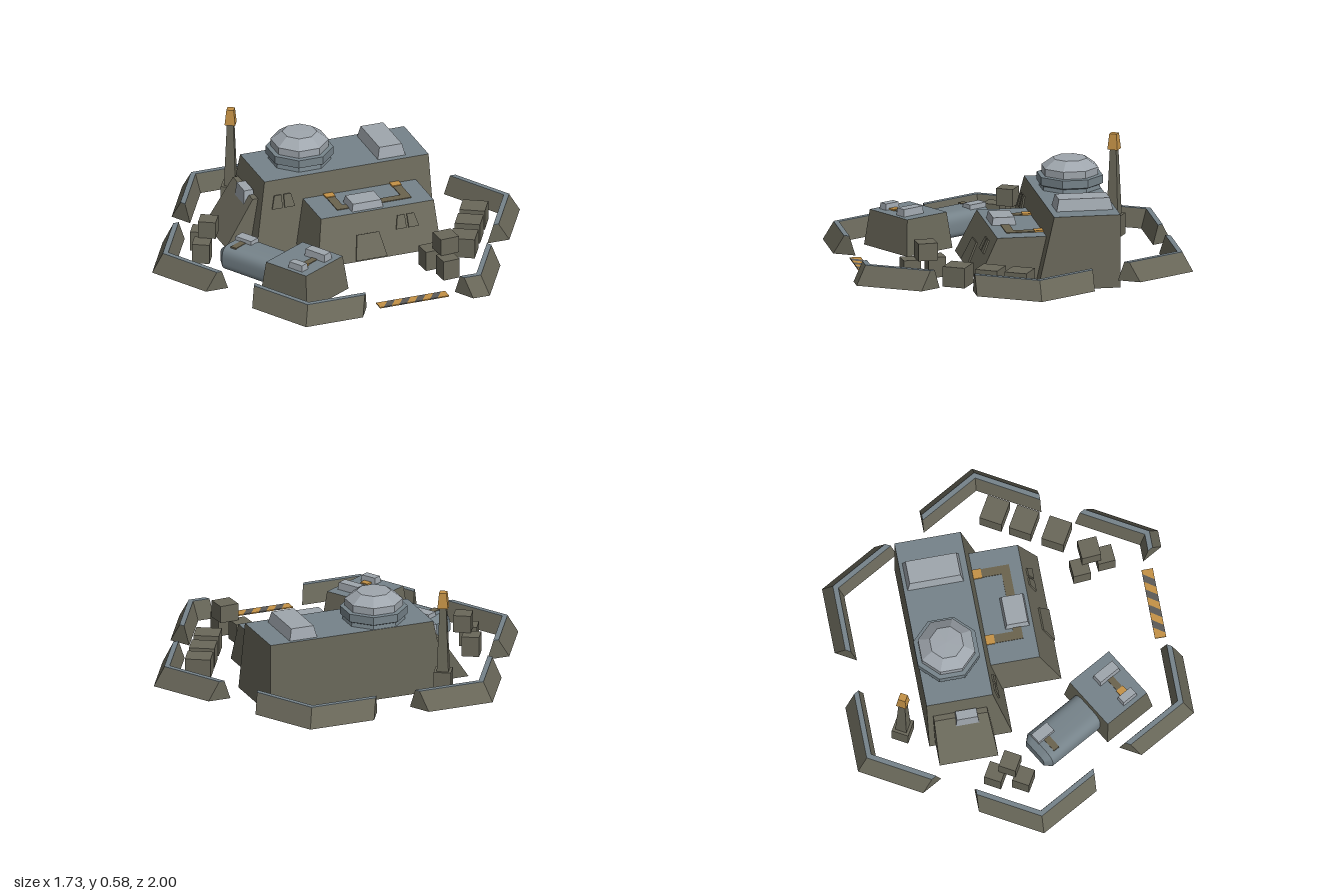
import * as THREE from 'three';
import { toCreasedNormals } from 'three/addons/utils/BufferGeometryUtils.js';

const mat = (name, color, double = false) => {
  const m = new THREE.MeshStandardMaterial({ color });
  m.name = name;
  if (double) m.side = THREE.DoubleSide;
  return m;
};

export function createModel() {
  const root = new THREE.Group();
  root.name = 'fortifiedOutpost';
  const olive = mat('olive armour', 0x6a685a, true);
  const slate = mat('slate roof', 0x76838a, true);
  const pale = mat('pale grey', 0x9fa6ad);
  const gold = mat('amber', 0xc49246);
  const brown = mat('brown conduit', 0x6b634e);
  const dark = mat('stripe grey', 0x5c5b58);

  const add = (parent, name, geo, m, x = 0, y = 0, z = 0, ry = 0) => {
    const mesh = new THREE.Mesh(geo, m);
    mesh.name = name;
    mesh.position.set(x, y, z);
    mesh.rotation.y = ry;
    parent.add(mesh);
    return mesh;
  };
  const group = (name, x, z, ry) => {
    const g = new THREE.Group();
    g.name = name;
    g.position.set(x, 0, z);
    g.rotation.y = ry;
    root.add(g);
    return g;
  };
  const flat = (geo) => {
    const g = geo.toNonIndexed();
    g.computeVertexNormals();
    return g;
  };

  // Box with separate bottom and top rectangles, each [x0, x1, z0, z1]
  const frustum = (b, t, y0, y1, open = false) => {
    const g = new THREE.BoxGeometry(1, 1, 1);
    const p = g.attributes.position;
    for (let i = 0; i < p.count; i++) {
      const top = p.getY(i) > 0;
      const r = top ? t : b;
      p.setXYZ(i, p.getX(i) < 0 ? r[0] : r[1], top ? y1 : y0, p.getZ(i) < 0 ? r[2] : r[3]);
    }
    g.computeVertexNormals();
    if (open) g.groups = g.groups.filter((q) => q.materialIndex !== 3);
    return g;
  };
  const roofed = [olive, olive, slate, olive, olive, olive];
  const block = (parent, name, m, x, z, w, d, y0, y1, inset = 0) => {
    const r = (k) => [x - w / 2 + k, x + w / 2 - k, z - d / 2 + k, z + d / 2 - k];
    return add(parent, name, frustum(r(0), r(inset), y0, y1), m);
  };

  // Bunker halls
  const base = group('bunker', 0, 0, Math.PI / 6);
  add(base, 'mainHall', frustum([-0.415, 0.558, -0.482, -0.055], [-0.334, 0.558, -0.482, -0.141], 0, 0.38, true), roofed);
  add(base, 'frontAnnex', frustum([-0.19, 0.478, -0.12, 0.24], [-0.135, 0.478, -0.13, 0.138], 0.04, 0.263, true), roofed);
  add(base, 'sideAnnex', frustum([-0.54, -0.36, -0.452, -0.15], [-0.385, -0.33, -0.452, -0.175], 0.04, 0.275, true), Array(6).fill(olive));

  // Roof hatches
  block(base, 'mainHatch', pale, 0.37, -0.318, 0.15, 0.29, 0.38, 0.44, 0.014);
  block(base, 'annexHatch', pale, 0.126, 0.057, 0.17, 0.125, 0.263, 0.302, 0.008);
  block(base, 'sideHatch', pale, -0.385, -0.285, 0.06, 0.12, 0.23, 0.302, 0.006);

  // Roof conduits with amber ends
  for (const [x, inner] of [[0, 0.045], [0.36, 0.205]]) {
    block(base, 'conduit', brown, x, -0.01, 0.045, 0.17, 0.26, 0.267);
    block(base, 'conduitElbow', brown, (x + inner) / 2, 0.053, Math.abs(x - inner), 0.045, 0.26, 0.267);
    block(base, 'conduitCap', gold, x, -0.093, 0.05, 0.045, 0.26, 0.271);
  }

  // Octagonal observation dome, its shaft reaching down inside the hall
  const ring8 = (pts) => flat(new THREE.LatheGeometry(pts.map(([r, y]) => new THREE.Vector2(r, y)), 8, Math.PI / 8));
  add(base, 'domeSkirt', ring8([[0.16, 0.38], [0.155, 0.4], [0.172, 0.408], [0.172, 0.45], [0.14, 0.453]]), slate, -0.07, 0, -0.33);
  add(base, 'dome', ring8([[0, 0.04], [0.145, 0.04], [0.148, 0.49], [0.088, 0.533], [0, 0.535]]), pale, -0.07, 0, -0.33);

  // Shutters and door lying on the sloping fronts
  const plate = (name, pts, x, y, z, slope) => {
    const s = new THREE.Shape(pts.map(([a, b]) => new THREE.Vector2(a, b)));
    const g = new THREE.ExtrudeGeometry(s, { depth: 0.008, bevelEnabled: false });
    add(base, name, g, olive, x, y, z).rotation.x = -Math.atan(slope);
  };
  const shutters = (x, y, z, slope) => {
    plate('shutterLeft', [[0.006, -0.035], [0.062, -0.035], [0.045, 0.035], [0.006, 0.035]], x, y, z, slope);
    plate('shutterRight', [[-0.062, -0.035], [-0.006, -0.035], [-0.006, 0.035], [-0.045, 0.035]], x, y, z, slope);
  };
  shutters(-0.245, 0.27, -0.115, 0.226);
  shutters(0.315, 0.19, 0.173, 0.457);
  plate('door', [[-0.085, 0], [0.085, 0], [0.06, 0.13], [-0.06, 0.13]], 0.1, 0.045, 0.239, 0.457);

  // Low outbuilding with a rounded wing
  const out = group('outbuilding', -0.075, 0.566, -Math.PI / 6);
  add(out, 'outbuildingBody', frustum([-0.15, 0.15, -0.17, 0.17], [-0.13, 0.13, -0.148, 0.148], 0.035, 0.22, true), roofed);
  const wing = new THREE.Shape();
  wing.moveTo(-0.06, 0.055);
  wing.lineTo(0.06, 0.055);
  wing.quadraticCurveTo(0.1, 0.055, 0.1, 0.095);
  wing.lineTo(0.1, 0.125);
  wing.quadraticCurveTo(0.1, 0.185, 0.04, 0.185);
  wing.lineTo(-0.04, 0.185);
  wing.quadraticCurveTo(-0.1, 0.185, -0.1, 0.125);
  wing.lineTo(-0.1, 0.095);
  wing.quadraticCurveTo(-0.1, 0.055, -0.06, 0.055);
  const wingGeo = new THREE.ExtrudeGeometry(wing, { depth: 0.355, bevelThickness: 0.035, bevelSize: 0.03, bevelOffset: -0.03, bevelSegments: 1, curveSegments: 6 });
  wingGeo.translate(0, 0.0, 0);
  add(out, 'roundedWing', toCreasedNormals(wingGeo, 0.6), slate, -0.1, 0, 0, -Math.PI / 2);
  block(out, 'wingVent', pale, -0.405, -0.038, 0.11, 0.065, 0.15, 0.205, 0.004);
  block(out, 'wingConduit', brown, -0.405, 0.03, 0.035, 0.08, 0.15, 0.188);
  block(out, 'roofVent', pale, 0.04, -0.062, 0.13, 0.06, 0.22, 0.258, 0.004);
  block(out, 'roofVentSmall', pale, 0.04, 0.1, 0.09, 0.05, 0.22, 0.252, 0.004);
  block(out, 'roofConduit', brown, 0.04, 0.01, 0.035, 0.12, 0.218, 0.224);
  block(out, 'roofConduitCap', gold, 0.04, 0.058, 0.045, 0.035, 0.218, 0.228);

  // Chevron walls: a cross-section of [apothem, y] swept round one hexagon corner, open below
  const chevron = (section, armA, armB) => {
    const pos = [];
    const idx = [];
    const n = section.length;
    for (const arm of [-armA, 0, armB]) {
      for (const [a, y] of section) pos.push(arm * 0.866, y, a / 0.866 - Math.abs(arm) * 0.5);
    }
    for (let s = 0; s < 2; s++) {
      for (let i = 1; i < n; i++) {
        const a = s * n + i;
        const b = s * n + (i + 1) % n;
        idx.push(a, a + n, b, b, a + n, b + n);
      }
    }
    for (let i = 1; i < n - 1; i++) idx.push(0, i, i + 1, 2 * n, 2 * n + i + 1, 2 * n + i);
    const g = new THREE.BufferGeometry();
    g.setAttribute('position', new THREE.Float32BufferAttribute(pos, 3));
    g.setIndex(idx);
    return flat(g);
  };
  // The two walls beside the gate have shortened arms
  const arms = [[0.35, 0.31], [0.09, 0.35], [0.35, 0.35], [0.35, 0.35], [0.35, 0.35], [0.35, 0.35]];
  arms.forEach(([a, b], i) => {
    const g = group('perimeterWall', 0, 0, i * Math.PI / 3);
    add(g, 'wall', chevron([[0.762, 0.052], [0.866, 0.052], [0.816, 0.148], [0.79, 0.148]], a, b), olive);
    add(g, 'wallCap', chevron([[0.79, 0.147], [0.816, 0.147], [0.816, 0.151], [0.79, 0.151]], a, b), slate);
  });

  // Crates: [x, z, bottom, width, height, depth, turn]
  const crates = [
    [0.66, -0.305, 0.05, 0.13, 0.105, 0.118, 0], [0.66, -0.147, 0.05, 0.13, 0.105, 0.118, 0],
    [0.66, 0.028, 0.05, 0.13, 0.105, 0.118, 0],
    [-0.67, 0.17, 0.05, 0.09, 0.105, 0.09, 0], [-0.64, 0.31, 0.05, 0.09, 0.105, 0.09, 0],
    [-0.62, 0.23, 0.155, 0.09, 0.09, 0.09, 0],
    [0.515, 0.205, 0.05, 0.09, 0.105, 0.09, 0.6], [0.62, 0.3, 0.05, 0.09, 0.105, 0.09, 0.6],
    [0.597, 0.225, 0.155, 0.1, 0.09, 0.1, 0.6],
  ];
  for (const [x, z, y, w, h, d, turn] of crates) {
    add(root, 'crate', new THREE.BoxGeometry(w, h, d), olive, x, y + h / 2, z, turn);
  }

  // Beacon mast
  const mast = group('beaconMast', -0.595, -0.355, 0);
  block(mast, 'mastFoot', olive, 0, 0, 0.088, 0.088, 0.05, 0.16);
  block(mast, 'mastPost', olive, 0, 0, 0.06, 0.06, 0.16, 0.5, 0.013);
  block(mast, 'beacon', gold, 0, 0, 0.054, 0.054, 0.5, 0.582, 0.008);

  // Striped gate strip
  const gate = group('gateStrip', 0.487, 0.612, Math.PI / 6);
  const count = 9;
  const len = 0.375;
  const skew = 0.02;
  for (let i = 0; i < count; i++) {
    const x0 = -len / 2 + (i * len) / count;
    const x1 = x0 + len / count;
    const k0 = i === 0 ? 0 : skew;
    const k1 = i === count - 1 ? 0 : skew;
    const s = new THREE.Shape([[x0 - k0, -0.029], [x1 - k1, -0.029], [x1 + k1, 0.029], [x0 + k0, 0.029]].map(([a, b]) => new THREE.Vector2(a, b)));
    const g = new THREE.ExtrudeGeometry(s, { depth: 0.006, bevelEnabled: false });
    add(gate, 'gateStripe', g, i % 2 ? dark : gold, 0, 0.052, 0).rotation.x = -Math.PI / 2;
  }
  return root;
}
